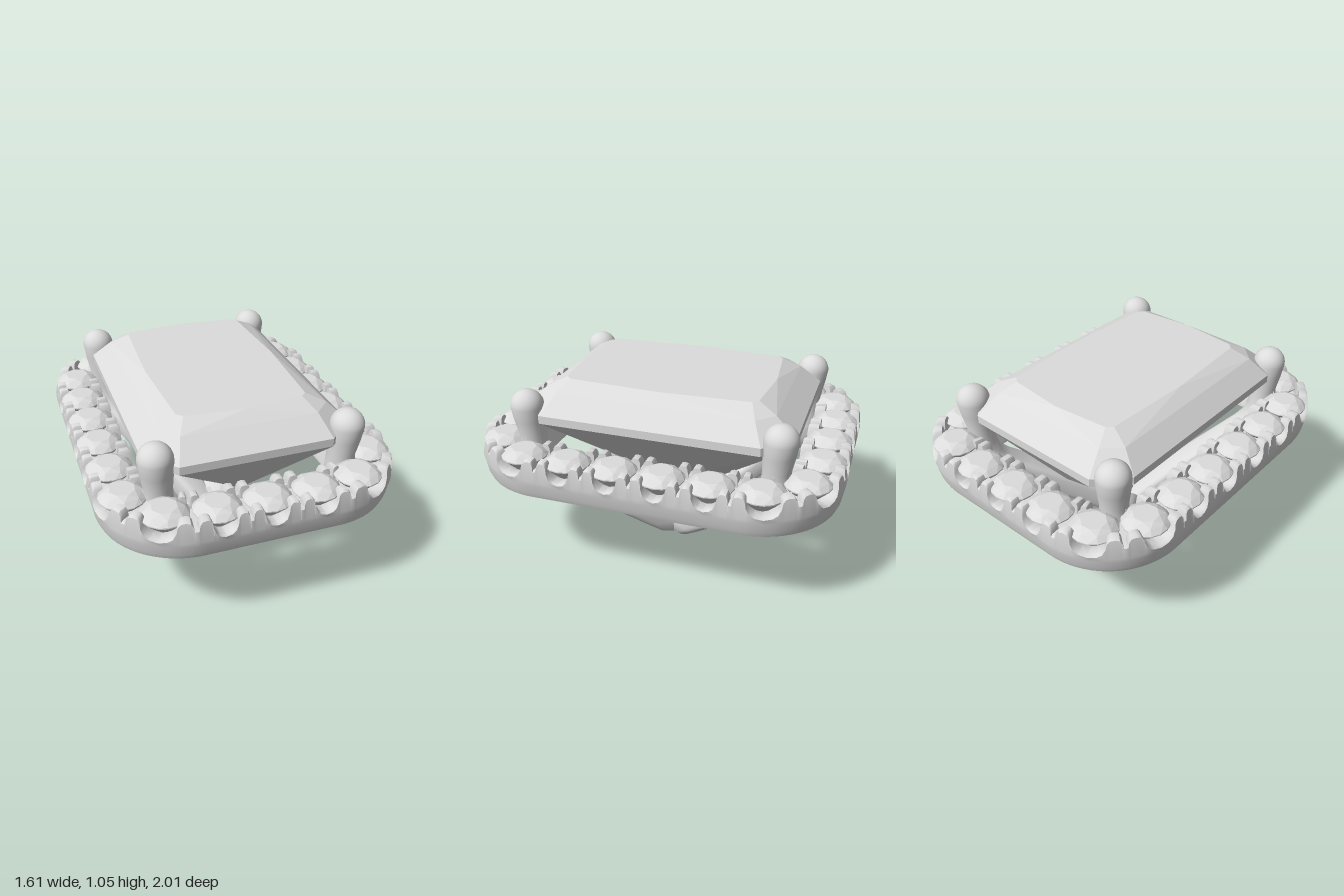
import * as THREE from 'three';
import { toCreasedNormals } from 'three/addons/utils/BufferGeometryUtils.js';
import { ConvexGeometry } from 'three/addons/geometries/ConvexGeometry.js';

// Centre line of the halo: a rounded rectangle measured by arc length
const A = 0.35, B = 0.55, R = 0.32;
const ARC = R * Math.PI / 2, QUARTER = A + ARC + B;
const STONES = 22, STEP = 4 * QUARTER / STONES;

function pathAt(s) {
  s = (s + 4 * QUARTER) % (4 * QUARTER);
  const k = Math.floor(s / QUARTER);
  const t = k % 2 ? (k + 1) * QUARTER - s : s - k * QUARTER;
  const angle = Math.min(Math.max((t - A) / R, 0), Math.PI / 2);
  const nx = Math.sin(angle), nz = Math.cos(angle);
  const x = Math.min(t, A) + R * nx;
  const z = B + R * nz - Math.max(t - A - ARC, 0);
  const sx = k < 2 ? 1 : -1, sz = k === 0 || k === 3 ? 1 : -1;
  return { x: x * sx, z: z * sz, nx: nx * sx, nz: nz * sz };
}

// Skin through rings of equal point count
function loft(rings, closed, crease) {
  const n = rings[0].length, index = [];
  const last = closed ? rings.length : rings.length - 1;
  for (let i = 0; i < last; i++) {
    for (let j = 0; j < n; j++) {
      const i2 = (i + 1) % rings.length, j2 = (j + 1) % n;
      const a = i * n + j, b = i2 * n + j, c = i2 * n + j2, d = i * n + j2;
      index.push(a, b, d, b, c, d);
    }
  }
  const geometry = new THREE.BufferGeometry();
  geometry.setAttribute('position', new THREE.Float32BufferAttribute(rings.flat(2), 3));
  geometry.setIndex(index);
  return toCreasedNormals(geometry, crease);
}

// Halo with a scalloped rim: cut under each stone, paired tabs between stones
function haloGeometry() {
  const rim = [[0, 0.665], [0.03, 0.673], [0.048, 0.69], [0.06, 0.72], [0.065, 0.75],
    [0.075, 0.766], [0.09, 0.77], [0.108, 0.766], [0.116, 0.75], [0.12, 0.722]];
  const samples = [...rim.slice(1).reverse().map(([d, y]) => [-d, y]), ...rim];
  const rings = [];
  for (let k = 0; k < STONES; k++) {
    for (const [d, top] of samples) {
      const p = pathAt(k * STEP + d);
      const lean = Math.max(top - 0.7, 0) * 0.2;
      const floor = Math.min(top - 0.005, 0.7);
      const profile = [
        [-0.165, 0.54], [0.085, 0.54], [0.108, 0.55], [0.12, 0.58], [0.128, 0.63], [0.133, 0.655],
        [0.134 - lean, top - 0.008], [0.122 - lean, top], [0.072, top], [0.066, floor],
        [-0.066, floor], [-0.072, top], [-0.118, top], [-0.13, top - 0.008],
        [-0.135, 0.62], [-0.165, 0.56]];
      rings.push(profile.map(([o, y]) => [p.x + p.nx * o, y, p.z + p.nz * o]));
    }
  }
  return loft(rings, true, 0.7);
}

// Arm rising from the base, passing the halo and ending in a round claw
function prongGeometry(angle) {
  // height, distance from axis, half depth, half width, squareness
  const sections = [
    [0.008, 0.02, 0, 0, 0.55], [0, 0.02, 0.085, 0.06, 0.55], [0.015, 0.03, 0.11, 0.072, 0.55],
    [0.08, 0.105, 0.125, 0.08, 0.55], [0.16, 0.205, 0.13, 0.082, 0.5], [0.27, 0.36, 0.13, 0.082, 0.5],
    [0.4, 0.57, 0.13, 0.082, 0.5], [0.48, 0.71, 0.135, 0.082, 0.5], [0.545, 0.825, 0.14, 0.085, 0.5],
    [0.6, 0.835, 0.1, 0.08, 0.75], [0.67, 0.83, 0.078, 0.075, 0.95],
    [0.77, 0.832, 0.074, 0.074, 1], [0.86, 0.842, 0.084, 0.084, 1]];
  for (let k = 0; k <= 7; k++) {
    const a = k / 7 * Math.PI / 2, r = 0.09 * Math.cos(a);
    sections.push([0.935 + 0.09 * Math.sin(a), 0.848, r, r, 1]);
  }
  const c = Math.cos(angle), s = Math.sin(angle);
  const bend = (v, e) => Math.sign(v) * Math.abs(v) ** e;
  const rings = sections.map(([y, dist, depth, width, e]) =>
    Array.from({ length: 24 }, (_, j) => {
      const t = j / 24 * Math.PI * 2;
      const u = dist + depth * bend(Math.cos(t), e), v = width * bend(Math.sin(t), e);
      return [u * c - v * s, y, u * s + v * c];
    }));
  return loft(rings, false, 0.8);
}

// Large step-cut stone
function centreStoneGeometry() {
  const points = [];
  const mirror = (x, y, z) => {
    for (const sx of [1, -1]) for (const sz of [1, -1]) points.push(new THREE.Vector3(x * sx, y, z * sz));
  };
  // half width, half length, corner cut, height
  const rings = [[0.345, 0.53, 0.03, 1.05], [0.45, 0.63, 0.09, 1.0],
    [0.55, 0.745, 0.15, 0.905], [0.55, 0.745, 0.15, 0.86]];
  for (const [w, l, cut, y] of rings) {
    mirror(w, y, l - cut);
    mirror(w - cut, y, l);
  }
  // Slightly bowed table edges
  mirror(0.37, 1.05, 0);
  mirror(0, 1.05, 0.56);
  // Pavilion ridges running to the culet
  mirror(0.205, 0.54, 0.25);
  mirror(0, 0.54, 0.51);
  mirror(0, 0.39, 0.25);
  mirror(0, 0.32, 0);
  return new ConvexGeometry(points);
}

// Small round brilliant used along the halo
function smallStoneGeometry() {
  const points = [new THREE.Vector3(0, -0.13, 0)];
  const ring = (count, r, y, turn) => {
    for (let i = 0; i < count; i++) {
      const a = (i + turn) / count * Math.PI * 2;
      points.push(new THREE.Vector3(r * Math.cos(a), y, r * Math.sin(a)));
    }
  };
  ring(8, 0.065, 0.043, 0);
  ring(8, 0.1, 0.026, 0.5);
  ring(16, 0.122, 0.003, 0);
  ring(16, 0.122, -0.003, 0);
  return new ConvexGeometry(points);
}

export function createModel() {
  const model = new THREE.Group();
  const silver = new THREE.MeshStandardMaterial({ color: 0xdcdcdc });
  silver.name = 'silver';
  const add = (name, geometry, parent = model) => {
    const mesh = new THREE.Mesh(geometry, silver);
    mesh.name = name;
    parent.add(mesh);
    return mesh;
  };

  add('halo', haloGeometry());
  add('centreStone', centreStoneGeometry());

  // Small web filling the crotch where the arms meet
  add('hub', new THREE.BoxGeometry(0.03, 0.14, 0.08)).position.y = 0.095;

  // Four corner arms with claws
  for (const sx of [1, -1]) {
    for (const sz of [1, -1]) {
      const name = (sz > 0 ? 'front' : 'back') + (sx > 0 ? 'Left' : 'Right') + 'Prong';
      add(name, prongGeometry(Math.atan2(0.685 * sz, 0.5 * sx)));
    }
  }

  // Ring of small stones
  const stones = new THREE.Group();
  stones.name = 'haloStones';
  model.add(stones);
  const stoneGeometry = smallStoneGeometry();
  for (let k = 0; k < STONES; k++) {
    const p = pathAt(k * STEP);
    const stone = add('haloStone', stoneGeometry, stones);
    stone.position.set(p.x, 0.73, p.z);
    stone.rotation.y = Math.atan2(p.nx, p.nz);
  }
  return model;
}
